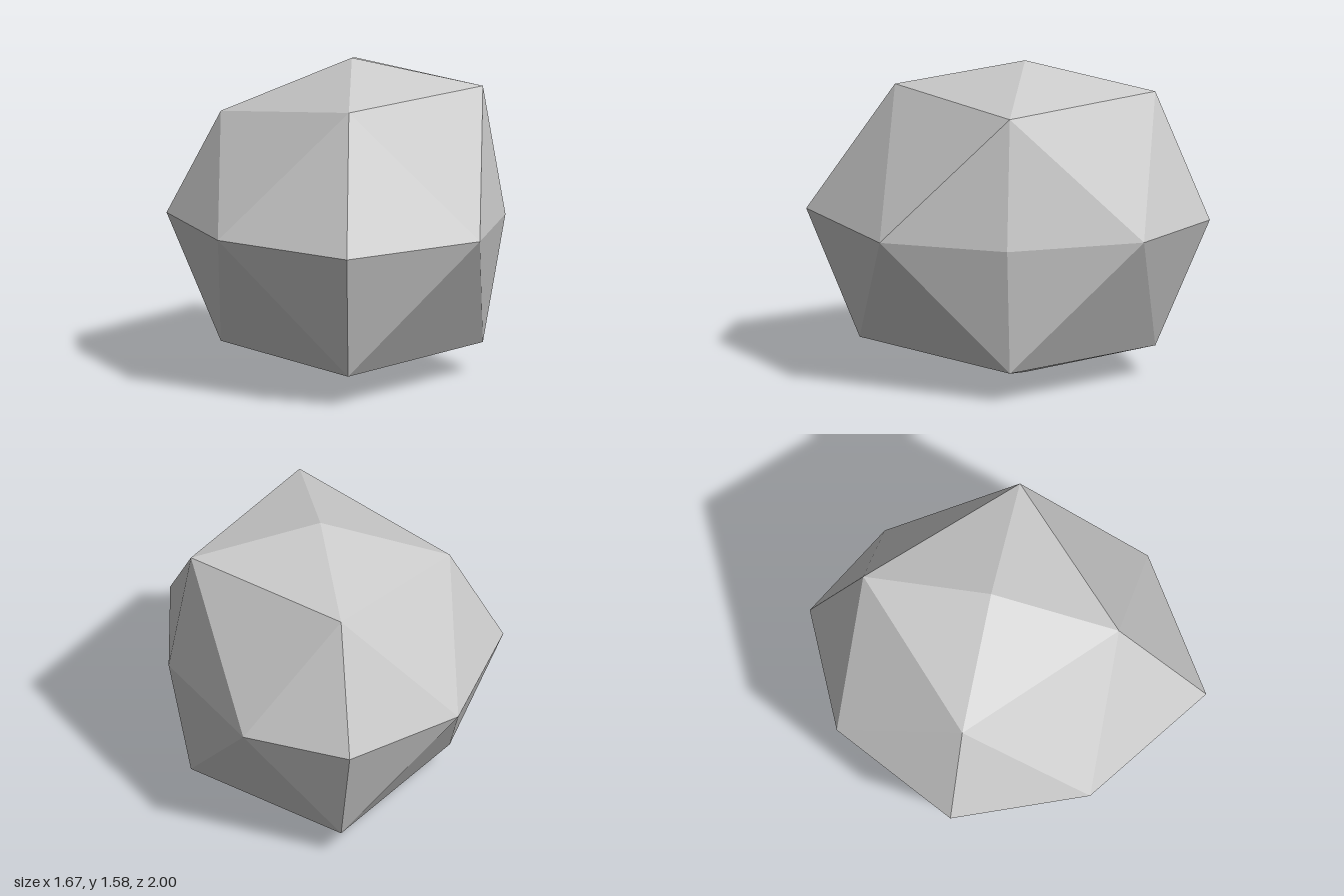
import * as THREE from 'three';

// Heart of the stone and the regular offset of its twelve edge corners
const CENTRE = [0.077, 0.8, -0.085];
const OFFSET = 0.645;

// The six tips, keyed by the signs of x, y, z
const TIPS = {
  '1,0,0': [0.833, 0.8, -0.085],
  '-1,0,0': [-0.835, 0.8, -0.085],
  '0,1,0': [0.077, 1.583, -0.085],
  '0,-1,0': [0.077, 0, -0.085],
  '0,0,1': [0.077, 0.8, 1],
  '0,0,-1': [0.077, 0.8, -1],
};

// Edge corners that are knocked out of the regular pattern
const CHIPS = {
  '-1,1,0': [-0.568, 1.313, -0.085],
  '0,-1,1': [0.077, 0.155, 0.735],
  '1,0,-1': [0.565, 0.8, -0.732],
  '-1,0,-1': [-0.507, 0.8, -0.732],
};

function corner(signs) {
  const key = signs.join(',');
  return TIPS[key] || CHIPS[key] || signs.map((s, i) => CENTRE[i] + s * OFFSET);
}

export function createModel() {
  const group = new THREE.Group();
  group.name = 'rock';

  // Octahedron split once: every vertex is a tip or an edge corner
  const geometry = new THREE.OctahedronGeometry(1, 1);
  const pos = geometry.attributes.position;
  const sign = (v) => (Math.abs(v) < 0.1 ? 0 : v > 0 ? 1 : -1);
  for (let i = 0; i < pos.count; i++) {
    const signs = [sign(pos.getX(i)), sign(pos.getY(i)), sign(pos.getZ(i))];
    pos.setXYZ(i, ...corner(signs));
  }
  geometry.computeVertexNormals();

  const stone = new THREE.Mesh(
    geometry,
    new THREE.MeshStandardMaterial({ color: 0xcccccc, flatShading: true })
  );
  stone.name = 'stone';
  group.add(stone);
  return group;
}
